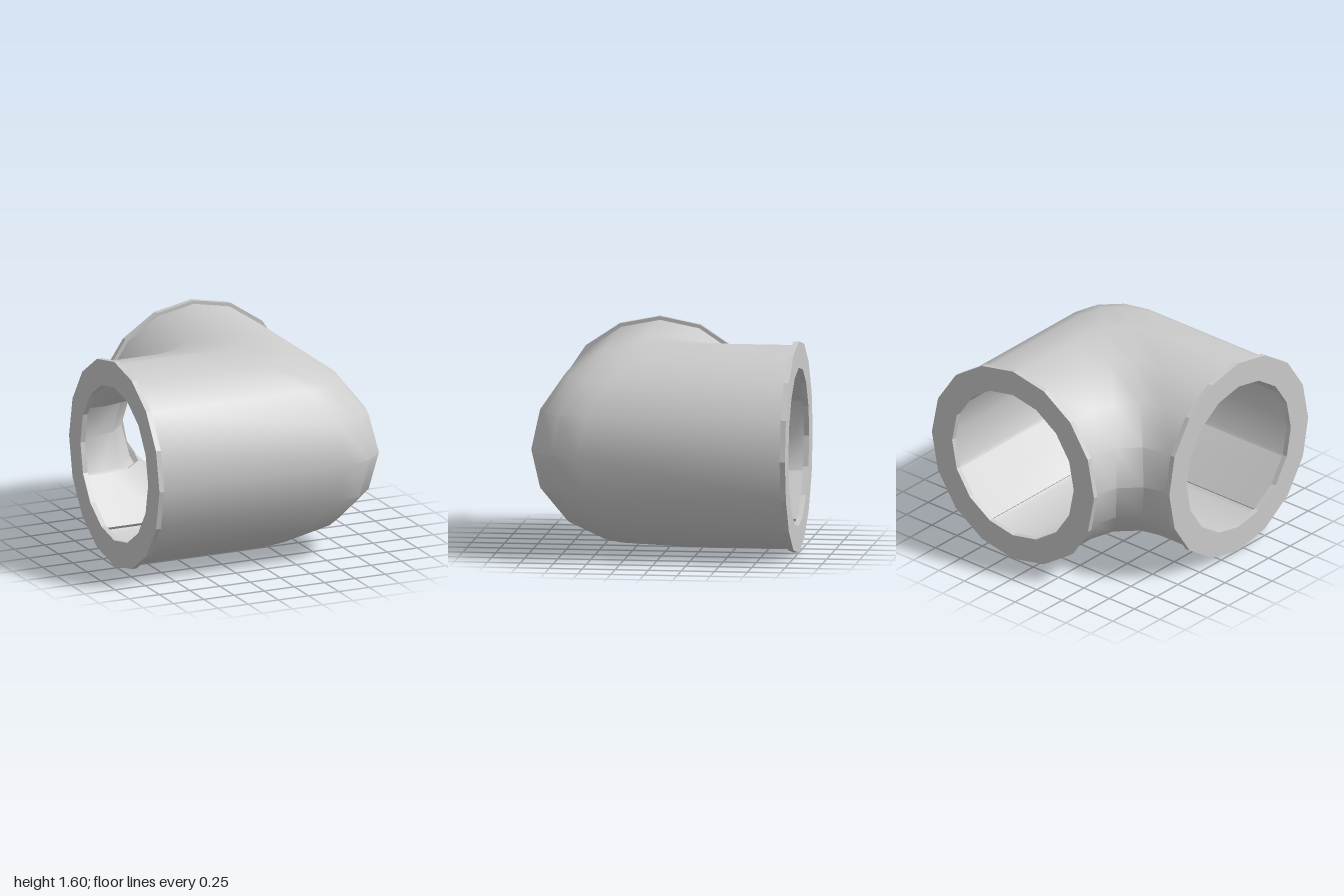
import * as THREE from 'three';
import { toCreasedNormals } from 'three/addons/utils/BufferGeometryUtils.js';

const AXIS = 0.2, HEIGHT = 0.8, SIDES = 16, BEND = 0.39;

// Regular polygon with a corner on the horizontal axis
function ring(r) {
  return Array.from({ length: SIDES }, (_, j) => {
    const t = (j / SIDES) * Math.PI * 2;
    return new THREE.Vector2(r * Math.cos(t), r * Math.sin(t));
  });
}

// Bore outline: a polygon with a raised flat pad on each diagonal
function boreOutline(r, padHalf, padWall, padFace) {
  const pts = [];
  for (let q = 0; q < 4; q++) {
    const a = (q * Math.PI) / 2, diag = a + Math.PI / 4;
    const polar = (t) => new THREE.Vector2(r * Math.cos(t), r * Math.sin(t));
    const local = (out, side) => new THREE.Vector2(
      out * Math.cos(diag) - side * Math.sin(diag),
      out * Math.sin(diag) + side * Math.cos(diag));
    pts.push(polar(a), polar(a + Math.PI / 8),
      local(padWall, -padHalf), local(padFace, -padHalf),
      local(padFace, padHalf), local(padWall, padHalf),
      polar(a + (3 * Math.PI) / 8));
  }
  return pts;
}

// Carries an outline round the corner; every point turns with the same radius
function elbow(outline, inward) {
  const END = -0.98, pos = [], idx = [], n = outline.length;
  const stations = 6;
  for (let i = 0; i < stations; i++) {
    for (const p of outline) {
      const line = AXIS + p.x, c = line - BEND;
      let x, z;
      if (i === 0) [x, z] = [END, line];
      else if (i === stations - 1) [x, z] = [line, END];
      else {
        const a = ((i - 1) / 3) * (Math.PI / 2);
        x = c + BEND * Math.sin(a);
        z = c + BEND * Math.cos(a);
      }
      pos.push(x, HEIGHT + p.y, z);
    }
  }
  for (let i = 0; i < stations - 1; i++) {
    for (let j = 0; j < n; j++) {
      const a = i * n + j, b = i * n + ((j + 1) % n), c = a + n, d = b + n;
      if (inward) idx.push(a, b, c, b, d, c);
      else idx.push(a, c, b, b, c, d);
    }
  }
  const g = new THREE.BufferGeometry();
  g.setAttribute('position', new THREE.Float32BufferAttribute(pos, 3));
  g.setIndex(idx);
  return toCreasedNormals(g, 0.65);
}

export function createModel() {
  const group = new THREE.Group();
  const material = new THREE.MeshStandardMaterial({ color: 0xcccccc });
  const add = (geometry, name) => {
    const mesh = new THREE.Mesh(geometry, material);
    mesh.name = name;
    group.add(mesh);
    return mesh;
  };

  // Pipe wall, outside and inside
  add(elbow(ring(0.772), false), 'outerWall');
  add(elbow(boreOutline(0.68, 0.226, 0.635, 0.6), true), 'boreWall');

  // Flat collar on each open end
  const shape = new THREE.Shape(ring(0.8));
  shape.holes.push(new THREE.Path(ring(0.6)));
  const collar = new THREE.ExtrudeGeometry(shape, { depth: 0.04, bevelEnabled: false });
  add(collar, 'backCollar').position.set(AXIS, HEIGHT, -1);
  const side = add(collar, 'sideCollar');
  side.rotation.y = -Math.PI / 2;
  side.position.set(-0.96, HEIGHT, AXIS);

  return group;
}
